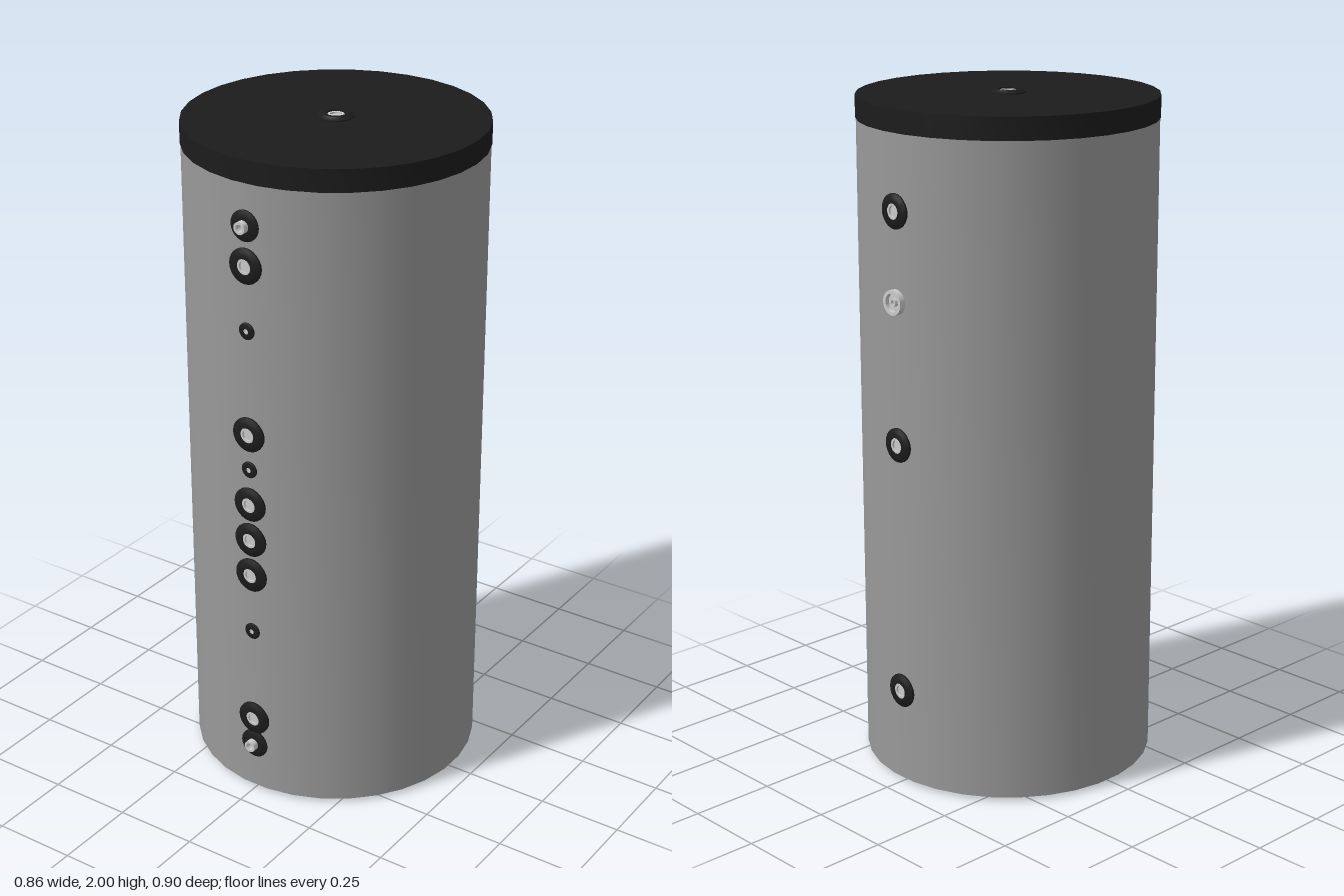
import * as THREE from 'three';
import { toCreasedNormals } from 'three/addons/utils/BufferGeometryUtils.js';

const grey = new THREE.MeshStandardMaterial({ color: 0xcccccc, side: THREE.DoubleSide });
const jacket = new THREE.MeshStandardMaterial({ color: 0x999999, side: THREE.DoubleSide });
const black = new THREE.MeshStandardMaterial({ color: 0x1c1c1c, side: THREE.DoubleSide });

const CZ = -0.006;   // axis of the tank
const R = 0.431;     // jacket radius
const FACE = R * Math.cos(Math.PI / 32); // flat facet facing the ports

// Turned part from [radius, height] pairs
function turned(name, points, material, segments = 24, start = 0) {
  const lathe = new THREE.LatheGeometry(points.map(p => new THREE.Vector2(...p)), segments, start);
  const mesh = new THREE.Mesh(toCreasedNormals(lathe, 0.5), material);
  mesh.name = name;
  return mesh;
}

// Rubber rosette with a bore
const rosette = (r, bore, h) => turned('rosette', [
  [r, -0.006], [r, h * 0.35], [r * 0.8, h * 0.75], [bore * 1.45, h], [bore, h], [bore, -0.006],
], black);

// Hollow pipe stub, closed at the bottom of its bore
const pipe = (r, bore, h) => turned('pipe', [
  [r, -0.006], [r, h], [bore, h], [bore, 0.004], [0, 0.004],
], grey);

// Threaded socket: rim with a recessed floor
const socket = (r, h) => turned('socket', [
  [r, -0.004], [r, h], [r * 0.7, h], [r * 0.7, 0.002], [0, 0.002],
], grey);

// Place parts on the front (+1) or the back (-1) of the jacket
function port(name, side, y, parts) {
  const g = new THREE.Group();
  g.name = name;
  g.add(...parts);
  g.rotation.x = side * Math.PI / 2;
  g.position.set(0, y, side * FACE);
  return g;
}

// Curved foot strip with trapezoid notches along its lower edge
function footRing(r, thickness, bottom, top, teeth) {
  const pos = [], idx = [];
  const steps = [[0, 0], [0.4, 0], [0.52, 1], [0.88, 1]];
  const n = teeth * steps.length;
  for (let i = 0; i <= n; i++) {
    const [f, up] = steps[i % steps.length];
    const a = (Math.floor(i / steps.length) + f) / teeth * Math.PI * 2;
    const low = bottom + up * 0.035;
    for (const [rad, y] of [[r, low], [r, top], [r - thickness, top], [r - thickness, low]]) {
      pos.push(rad * Math.sin(a), y, rad * Math.cos(a));
    }
    if (i === n) break;
    for (let k = 0; k < 4; k++) {
      const a0 = i * 4 + k, b0 = i * 4 + (k + 1) % 4;
      idx.push(a0, a0 + 4, b0, b0, a0 + 4, b0 + 4);
    }
  }
  const geo = new THREE.BufferGeometry();
  geo.setAttribute('position', new THREE.Float32BufferAttribute(pos, 3));
  geo.setIndex(idx);
  const mesh = new THREE.Mesh(toCreasedNormals(geo, 0.6), grey);
  mesh.name = 'footRing';
  return mesh;
}

export function createModel() {
  const model = new THREE.Group();
  model.name = 'storageTank';
  const tank = new THREE.Group();
  tank.name = 'tank';
  tank.position.z = CZ;
  model.add(tank);

  // Insulated jacket, open underneath around the foot ring
  tank.add(turned('jacket', [[0.35, 0.13], [0.35, 0.01], [R - 0.001, 0.01], [R - 0.001, 1.93]],
    jacket, 32, Math.PI / 32));

  // Dished floor of the inner vessel
  const floor = [];
  for (let i = 0; i <= 8; i++) {
    const t = i / 8;
    floor.push([0.35 * t, 0.07 + 0.06 * t * t]);
  }
  tank.add(turned('vesselFloor', floor, jacket, 32));
  tank.add(footRing(0.34, 0.012, 0, 0.125, 12));

  // Lid with its central grommet
  tank.add(turned('lid', [[R - 0.001, 1.925], [R + 0.001, 1.925], [R + 0.001, 1.99], [0, 1.99]],
    black, 32, Math.PI / 32));
  const top = new THREE.Group();
  top.name = 'topPort';
  top.position.y = 1.99;
  top.add(rosette(0.052, 0.027, 0.01), socket(0.024, 0.007));
  tank.add(top);

  // Front sockets
  for (const y of [1.69, 1.187, 0.967, 0.853, 0.738, 0.25]) {
    tank.add(port('frontSocket', 1, y, [rosette(0.052, 0.023, 0.011), socket(0.023, 0.008)]));
  }
  // Front pipe stubs
  for (const y of [1.805, 0.16]) {
    tank.add(port('frontPipe', 1, y, [rosette(0.045, 0.018, 0.009), pipe(0.018, 0.011, 0.027)]));
  }
  // Small sensor pockets
  for (const y of [1.5, 1.077, 0.55]) {
    tank.add(port('sensorPocket', 1, y, [rosette(0.025, 0.008, 0.006), socket(0.008, 0.004)]));
  }

  // Back sockets and heater connection
  for (const y of [1.71, 1.04, 0.29]) {
    tank.add(port('backSocket', -1, y, [rosette(0.05, 0.023, 0.011), socket(0.023, 0.008)]));
  }
  tank.add(port('backPipe', -1, 1.455, [pipe(0.036, 0.026, 0.017), pipe(0.012, 0.007, 0.014)]));

  return model;
}
